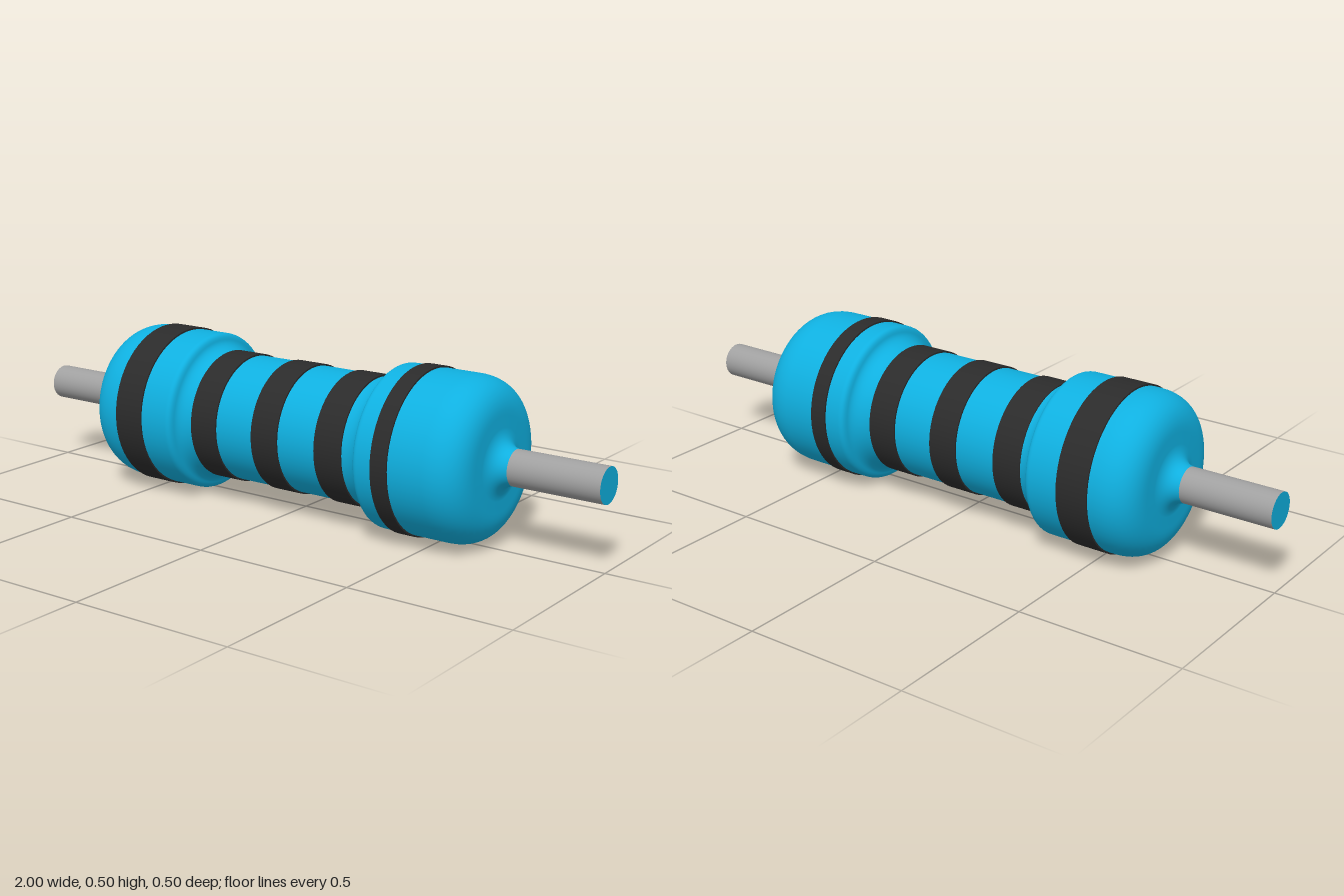
import * as THREE from 'three';

const AXIS_Y = 0.25;
const WIRE_R = 0.053;
const SEGMENTS = 64;

export function createModel() {
  const group = new THREE.Group();
  group.name = 'resistor';

  const material = (name, color) => {
    const m = new THREE.MeshStandardMaterial({ color });
    m.name = name;
    return m;
  };
  const blue = material('blue coating', 0x0fb0e0);
  const black = material('black band', 0x2b2b2b);
  const grey = material('grey wire', 0xa0a0a0);

  const add = (name, geometry, mat, x = 0) => {
    const mesh = new THREE.Mesh(geometry, mat);
    mesh.name = name;
    mesh.position.set(x, AXIS_Y, 0);
    group.add(mesh);
    return mesh;
  };
  // cylinder lying along x
  const rod = (radius, length, open) =>
    new THREE.CylinderGeometry(radius, radius, length, SEGMENTS, 1, open).rotateZ(-Math.PI / 2);

  // body: half profile (radius, distance along the axis), mirrored to the other end
  const half = new THREE.Path();
  half.moveTo(0.192, 0);
  half.lineTo(0.192, 0.265);
  half.bezierCurveTo(0.192, 0.3, 0.205, 0.323, 0.222, 0.328);
  half.bezierCurveTo(0.234, 0.331, 0.243, 0.335, 0.243, 0.35);
  half.lineTo(0.243, 0.56);
  half.bezierCurveTo(0.243, 0.63, 0.205, 0.67, 0.14, 0.67);
  half.lineTo(0.105, 0.671);
  half.bezierCurveTo(0.075, 0.673, 0.056, 0.69, WIRE_R, 0.718);
  const end = half.getPoints(14);
  const start = end.slice(1).reverse().map((p) => new THREE.Vector2(p.x, -p.y));
  const body = new THREE.LatheGeometry([...start, ...end], SEGMENTS).rotateZ(-Math.PI / 2);
  add('body', body, blue);

  // colour bands: [centre, width, radius]
  const bands = [
    [-0.492, 0.1, 0.248],
    [-0.238, 0.094, 0.197],
    [-0.01, 0.094, 0.197],
    [0.217, 0.094, 0.197],
    [0.425, 0.054, 0.248],
  ];
  bands.forEach(([x, width, radius], i) => add(`band${i + 1}`, rod(radius, width, false), black, x));

  // wire leads with coated end faces
  for (const [side, name] of [[1, 'left'], [-1, 'right']]) {
    add(`${name}Lead`, rod(WIRE_R, 0.284, true), grey, side * 0.858);
    const tip = new THREE.CircleGeometry(WIRE_R, SEGMENTS).rotateY(side * Math.PI / 2);
    add(`${name}LeadTip`, tip, blue, side);
  }
  return group;
}
